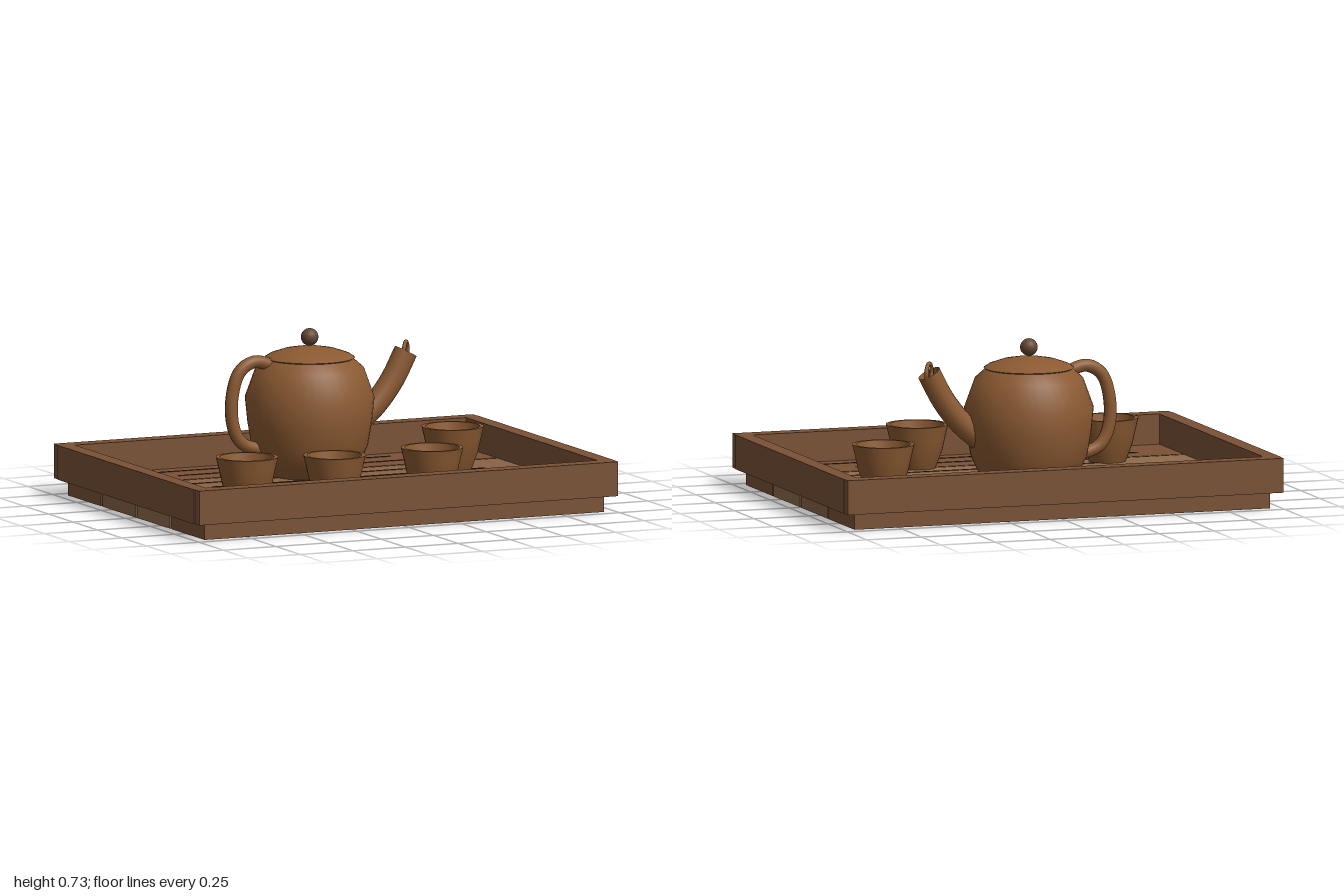
import * as THREE from 'three';
import { toCreasedNormals } from 'three/addons/utils/BufferGeometryUtils.js';

const material = (color, side = THREE.FrontSide) => new THREE.MeshStandardMaterial({ color, side });
const wood = material(0x7a5236);
const woodMid = material(0x896346);
const woodLight = material(0x8f6b4b);
const grooveDark = material(0x4a3020);
const clay = material(0x8b5a32, THREE.DoubleSide);
const clayDark = material(0x644633);

const FLOOR = 0.09; // top of the planks

function add(parent, name, geometry, mat, x = 0, y = 0, z = 0) {
  const mesh = new THREE.Mesh(geometry, mat);
  mesh.name = name;
  mesh.position.set(x, y, z);
  parent.add(mesh);
  return mesh;
}

function lathe(points, segments = 40) {
  const profile = points.map(([r, y]) => new THREE.Vector2(r, y));
  return toCreasedNormals(new THREE.LatheGeometry(profile, segments), 0.6);
}

function tube(points, radius, segments, sides) {
  const curve = new THREE.CatmullRomCurve3(points.map(([x, y]) => new THREE.Vector3(x, y, 0)));
  return new THREE.TubeGeometry(curve, segments, radius, sides);
}

function createTray() {
  const tray = new THREE.Group();
  tray.name = 'tray';

  // Four planks, each with two staggered drainage grooves
  [wood, woodMid, woodLight, wood].forEach((mat, i) => {
    const z = (i - 1.5) * 0.3535;
    add(tray, 'plank', new THREE.BoxGeometry(1.9, FLOOR, 0.342), mat, 0, FLOOR / 2, z);
    for (const s of [-1, 1]) {
      add(tray, 'groove', new THREE.BoxGeometry(1.29, 0.004, 0.01), grooveDark,
        s * 0.115, FLOOR, z + s * 0.06);
    }
  });

  // Raised rim
  for (const s of [-1, 1]) {
    add(tray, 'longRail', new THREE.BoxGeometry(1.992, 0.15, 0.075), wood, 0, 0.147, s * 0.708);
    add(tray, 'shortRail', new THREE.BoxGeometry(0.07, 0.15, 1.4), wood, s * 0.965, 0.147, 0);
  }
  return tray;
}

function createTeapot() {
  const pot = new THREE.Group();
  pot.name = 'teapot';
  pot.position.z = -0.27;

  add(pot, 'body', lathe([
    [0, 0.09], [0.17, 0.09], [0.215, 0.14], [0.252, 0.22], [0.269, 0.32],
    [0.28, 0.43], [0.235, 0.555], [0.185, 0.6], [0, 0.6],
  ]), clay);

  add(pot, 'lid', lathe([
    [0, 0.592], [0.18, 0.592], [0.195, 0.602], [0.175, 0.615],
    [0.12, 0.634], [0.05, 0.647], [0, 0.65],
  ]), clay);
  add(pot, 'knob', new THREE.SphereGeometry(0.038, 20, 14), clayDark, 0, 0.69, 0);

  add(pot, 'handle', tube([
    [-0.16, 0.56], [-0.21, 0.588], [-0.27, 0.597], [-0.335, 0.555], [-0.371, 0.43],
    [-0.36, 0.31], [-0.32, 0.245], [-0.23, 0.21],
  ], 0.028, 32, 12), clay);

  add(pot, 'spout', tube([
    [0.2, 0.28], [0.31, 0.375], [0.39, 0.475], [0.457, 0.598],
  ], 0.052, 20, 12), clay);

  // Upright ring at the pouring end
  const lip = add(pot, 'spoutLip', new THREE.TorusGeometry(0.042, 0.009, 8, 24), clay, 0.457, 0.598, 0);
  lip.rotation.y = 0.95;
  return pot;
}

function createCups() {
  const cups = new THREE.Group();
  cups.name = 'cups';
  // Outer wall, rim and inner bowl in one profile
  const geometry = lathe([
    [0, 0], [0.08, 0], [0.092, 0.03], [0.11, 0.08], [0.122, 0.135], [0.135, 0.19],
    [0.118, 0.19], [0.108, 0.135], [0.096, 0.08], [0.08, 0.035], [0, 0.025],
  ], 32);
  for (const [x, z] of [[0.62, -0.14], [-0.555, 0.285], [-0.19, 0.395], [0.285, 0.37]]) {
    add(cups, 'cup', geometry, clay, x, FLOOR, z);
  }
  return cups;
}

export function createModel() {
  const model = new THREE.Group();
  model.name = 'teaSet';
  model.add(createTray(), createTeapot(), createCups());
  return model;
}
